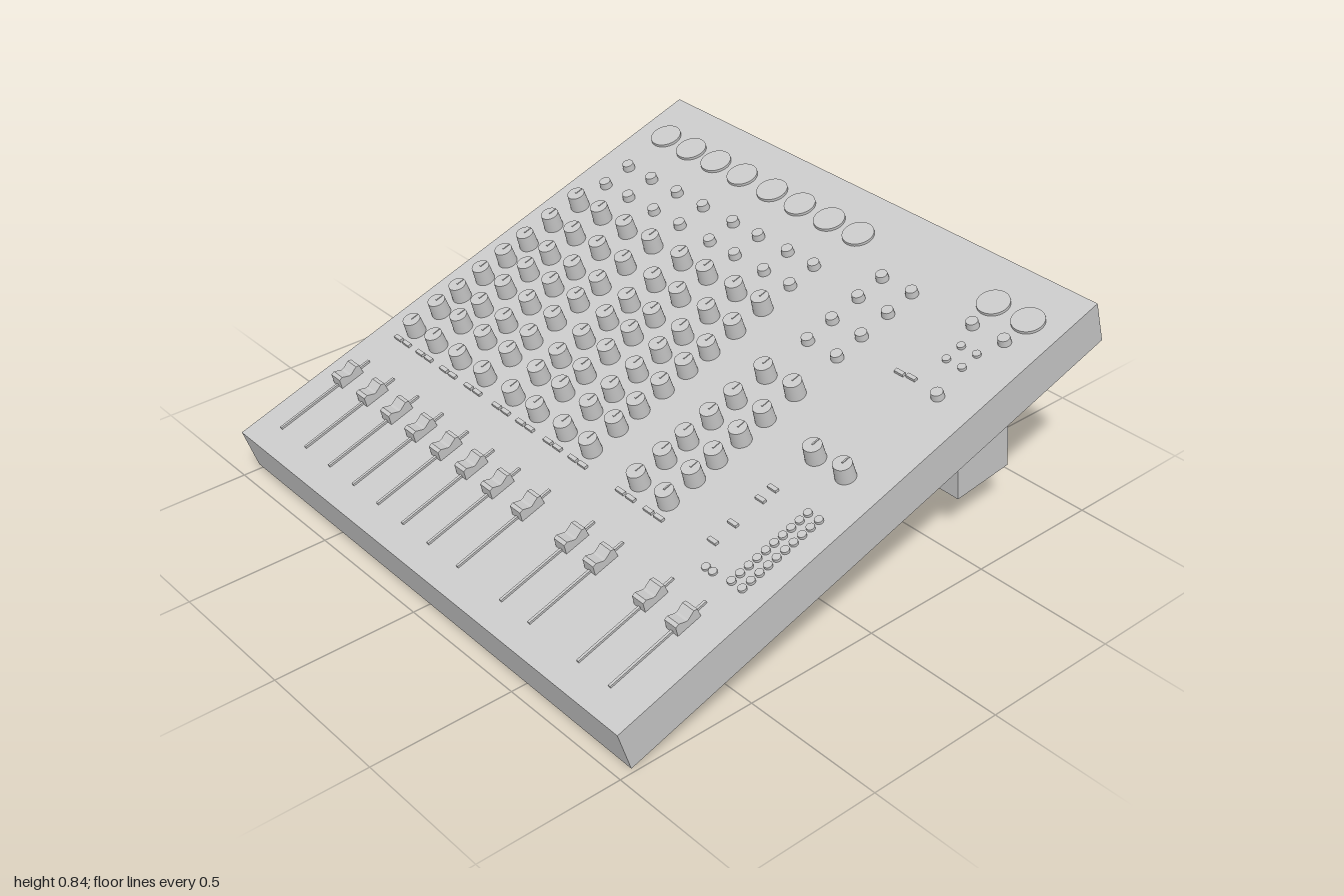
import * as THREE from 'three';

export function createModel() {
  const grey = new THREE.MeshStandardMaterial({ color: 0xc8c8c8 });
  grey.name = 'plain grey';

  const root = new THREE.Group();
  root.name = 'mixingDesk';
  const tilt = 0.3255, cos = Math.cos(tilt), sin = Math.sin(tilt);

  // the whole desk leans slightly towards +x
  const body = new THREE.Group();
  body.name = 'body';
  body.rotation.z = -0.015;
  root.add(body);

  // sloping panel frame: its origin is the middle of the top surface
  const panel = new THREE.Group();
  panel.name = 'slopingPanel';
  panel.position.set(-0.006, 0.497, 0.027);
  panel.rotation.x = tilt;
  body.add(panel);

  const add = (parent, name, geo, x, y, z) => {
    const m = new THREE.Mesh(geo, grey);
    m.name = name;
    m.position.set(x, y, z);
    parent.add(m);
    return m;
  };
  // places a part on the panel from its plan position, allowing for its height
  const place = (name, geo, x, z, lift, seen = lift * 2) =>
    add(panel, name, geo, x, lift, (z - 0.027 - seen * sin) / cos);

  add(panel, 'slab', new THREE.BoxGeometry(1.97, 0.16, 2.05), 0.006, -0.08, 0);

  // rear foot
  const footGeo = new THREE.BoxGeometry(1.65, 0.37, 0.237);
  footGeo.translate(0, 0.185, 0);
  const foot = add(body, 'rearFoot', footGeo, 0.012, 0.195, -0.667);
  foot.rotation.x = 0.135;

  // shared shapes
  const knobGeo = new THREE.CylinderGeometry(0.031, 0.034, 0.06, 28);
  const pointerGeo = new THREE.BoxGeometry(0.005, 0.004, 0.03);
  const trimGeo = new THREE.CylinderGeometry(0.02, 0.022, 0.024, 20);
  const socketGeo = new THREE.CylinderGeometry(0.055, 0.055, 0.01, 36);
  const lampGeo = new THREE.CylinderGeometry(0.014, 0.014, 0.01, 14);
  const slotGeo = new THREE.BoxGeometry(0.009, 0.008, 0.38);
  const buttonGeo = new THREE.BoxGeometry(0.036, 0.01, 0.014);

  // fader cap: a saddle profile across its length
  const profile = new THREE.Shape([
    [-0.046, 0], [0.046, 0], [0.043, 0.036], [0.03, 0.04], [0.004, 0.026],
    [-0.004, 0.026], [-0.03, 0.04], [-0.043, 0.036],
  ].map(([a, b]) => new THREE.Vector2(a, b)));
  const capGeo = new THREE.ExtrudeGeometry(profile, { depth: 0.05, bevelEnabled: false });
  capGeo.translate(0, 0, -0.025);
  capGeo.rotateY(Math.PI / 2);

  const knob = (x, z) => {
    place('knob', knobGeo, x, z, 0.03);
    place('knobPointer', pointerGeo, x, z - 0.014, 0.061, 0.06);
  };
  const trim = (x, z) => place('trimKnob', trimGeo, x, z, 0.012);
  const button = (x, z) => place('button', buttonGeo, x, z, 0.005);

  // eight input channels and two group channels
  const channels = [-0.844, -0.717, -0.58, -0.442, -0.288, -0.161, -0.018, 0.108];
  const groups = [0.341, 0.473];
  const rows = [-0.34, -0.22, -0.108, -0.013, 0.087, 0.188, 0.278, 0.384];
  for (const x of channels) {
    for (const z of rows) knob(x, z);
    for (const z of [-0.58, -0.473]) trim(x, z);
  }
  for (const x of groups) {
    for (const z of [-0.14, ...rows.slice(3)]) knob(x, z);
    for (const z of [-0.66, -0.553, -0.437, -0.33]) trim(x, z);
  }
  for (const x of [...channels, ...groups]) {
    button(x - 0.024, 0.425);
    button(x + 0.024, 0.425);
  }

  // round sockets along the back
  for (const x of [-0.855, -0.717, -0.585, -0.447, -0.294, -0.156, -0.013, 0.124, 0.722, 0.865])
    place('socket', socketGeo, x, -0.77, 0.005);

  // faders with their slots
  for (const x of [-0.87, -0.722, -0.58, -0.442, -0.304, -0.166, -0.029, 0.124, 0.341, 0.478, 0.706, 0.849]) {
    place('faderSlot', slotGeo, x, 0.73, 0.004);
    place('faderCap', capGeo, x, 0.642, 0, 0.03);
  }

  // master section
  knob(0.717, 0.008);
  knob(0.844, 0.008);
  trim(0.733, -0.66);
  trim(0.865, -0.66);
  trim(0.85, -0.384);
  for (const z of [-0.58, -0.515]) {
    place('indicator', lampGeo, 0.765, z, 0.005);
    place('indicator', lampGeo, 0.83, z, 0.005);
  }
  button(0.685, -0.395);
  button(0.73, -0.4);
  for (const z of [0.15, 0.2, 0.31, 0.39]) button(0.7, z);
  for (const x of [0.755, 0.785]) place('indicator', lampGeo, x, 0.465, 0.003);

  // level meter lamps
  for (let i = 0; i < 10; i++)
    for (const x of [0.856, 0.902]) place('meterLamp', lampGeo, x, 0.156 + i * 0.0335, 0.005);

  return root;
}
